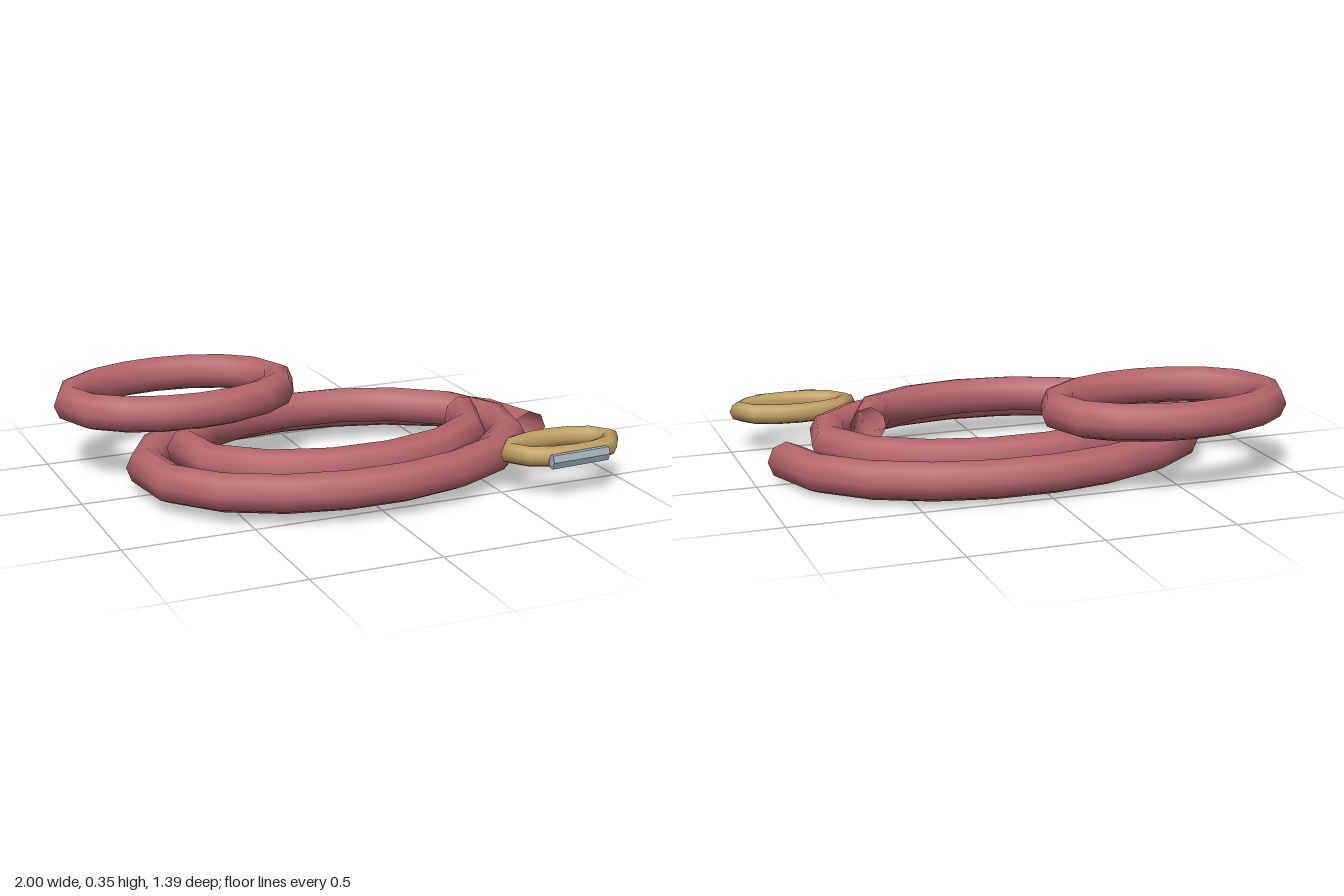
import * as THREE from 'three';

// Curve defined by a function of t in 0..1
class PathCurve extends THREE.Curve {
  constructor(fn) {
    super();
    this.fn = fn;
  }
  getPoint(t, target = new THREE.Vector3()) {
    return target.set(...this.fn(t));
  }
}

// Flat elliptical loop centred on (cx, y, cz)
const loop = (cx, y, cz, rx, rz) => new PathCurve((t) => {
  const a = t * Math.PI * 2;
  return [cx + rx * Math.cos(a), y, cz - rz * Math.sin(a)];
});

export function createModel() {
  const material = (name, color) => {
    const m = new THREE.MeshStandardMaterial({ color, side: THREE.DoubleSide });
    m.name = name;
    return m;
  };
  const red = material('dusty red', 0xb5656b);
  const brass = material('brass', 0xbf9f63);
  const steel = material('steel', 0xa3b3bd);

  const group = new THREE.Group();
  const tube = (name, curve, segments, radius, closed, mat) => {
    const mesh = new THREE.Mesh(new THREE.TubeGeometry(curve, segments, radius, 8, closed), mat);
    mesh.name = name;
    group.add(mesh);
  };

  // Rope: two oval turns that wind inward and rise, with open ends
  const spiral = new PathCurve((t) => {
    const a = t * Math.PI * 4;
    const r = 0.847 - 0.32 * t;
    return [0.022 + r * Math.cos(a), 0.08 + 0.105 * t, 0.059 - 0.667 * r * Math.sin(a)];
  });
  tube('ropeCoil', spiral, 32, 0.075, false, red);

  // Loop of rope resting on the coil
  tube('handLoop', loop(-0.505, 0.288, -0.35, 0.424, 0.274), 16, 0.072, true, red);

  // Oval metal clip
  tube('clipRing', loop(0.738, 0.165, 0.521, 0.218, 0.104), 12, 0.04, true, brass);

  // Flattened six-sided gate along the front of the clip
  const gateShape = new THREE.CylinderGeometry(0.03, 0.03, 0.25, 6)
    .rotateZ(Math.PI / 2)
    .scale(1, 1, 0.6);
  const flat = gateShape.toNonIndexed();
  flat.computeVertexNormals();
  const gate = new THREE.Mesh(flat, steel);
  gate.name = 'clipGate';
  gate.position.set(0.735, 0.165, 0.668);
  gate.rotation.y = 0.06;
  group.add(gate);

  return group;
}
